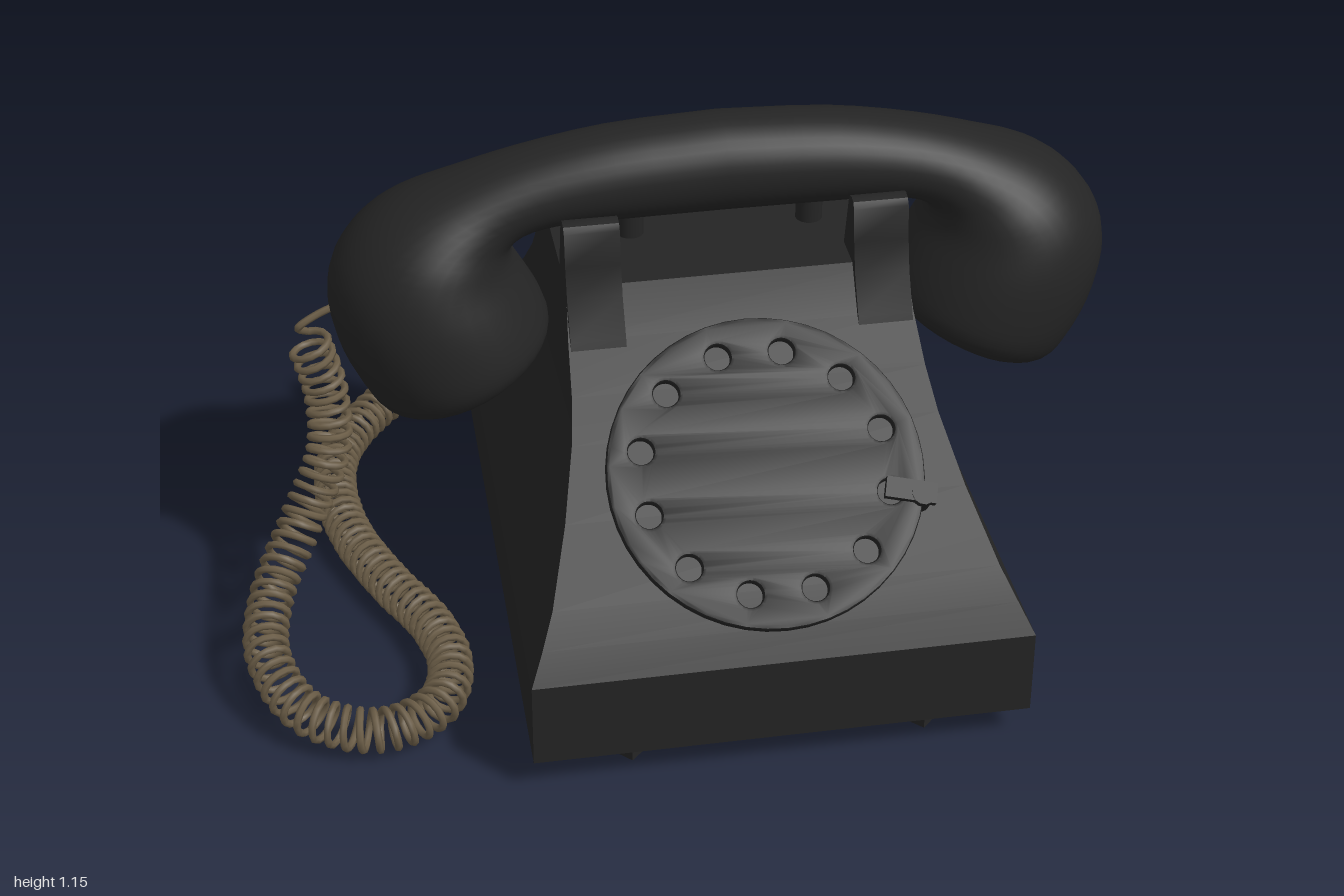
import * as THREE from 'three';
import { toCreasedNormals } from 'three/addons/utils/BufferGeometryUtils.js';

const CX = 0.13; // the phone sits off-centre because the cord loops out to one side

const black = new THREE.MeshStandardMaterial({ color: 0x242424 });
black.name = 'black bakelite';
const brown = new THREE.MeshStandardMaterial({ color: 0x6b5d47 });
brown.name = 'brown cord';

function add(parent, name, geometry, material = black) {
  const mesh = new THREE.Mesh(geometry, material);
  mesh.name = name;
  parent.add(mesh);
  return mesh;
}

// Skin closed rings of points (counter-clockwise about the travel direction)
function loft(rings, crease, capped) {
  const n = rings[0].length, index = [];
  for (let i = 0; i < rings.length - 1; i++) {
    for (let j = 0; j < n; j++) {
      const k = (j + 1) % n;
      const a = i * n + j, b = i * n + k, c = a + n, d = b + n;
      index.push(a, b, d, a, d, c);
    }
  }
  if (capped) {
    const t = (rings.length - 1) * n;
    for (let j = 1; j < n - 1; j++) index.push(0, j + 1, j, t, t + j, t + j + 1);
  }
  const g = new THREE.BufferGeometry();
  g.setAttribute('position', new THREE.Float32BufferAttribute(rings.flat(2), 3));
  g.setIndex(index);
  g.computeVertexNormals();
  return toCreasedNormals(g, crease);
}

function bodyGeometry() {
  // height, half width, front z, back z
  const levels = [
    [0.08, 0.54, 0.805, -0.575], [0.28, 0.54, 0.805, -0.575],
    [0.34, 0.51, 0.76, -0.555], [0.4, 0.48, 0.705, -0.53],
    [0.52, 0.432, 0.57, -0.425], [0.63, 0.398, 0.445, -0.325],
    [0.7, 0.385, 0.365, -0.27], [0.78, 0.378, 0.27, -0.215], [0.875, 0.372, 0.205, -0.185],
  ];
  return loft(levels.map(([y, w, f, b]) => {
    const wb = w - Math.max(0, (w - 0.4) * 0.17);
    return [[w, y, f], [wb, y, b], [-wb, y, b], [-w, y, f]];
  }), 0.42, true);
}

function handsetGeometry() {
  // outer edge (x, y, half depth) and matching inner edge (x, y), from middle to cup
  const outer = [
    [0, 1.15, 0.11], [0.25, 1.135, 0.112], [0.45, 1.097, 0.113], [0.6, 1.05, 0.128],
    [0.72, 1.0, 0.16], [0.8, 0.94, 0.19], [0.855, 0.86, 0.213], [0.87, 0.77, 0.232],
    [0.848, 0.66, 0.241], [0.805, 0.565, 0.237], [0.775, 0.52, 0.215], [0.74, 0.508, 0.19],
  ];
  const inner = [
    [0, 0.93], [0.22, 0.93], [0.36, 0.93], [0.425, 0.922], [0.458, 0.903], [0.465, 0.88],
    [0.457, 0.85], [0.43, 0.8], [0.402, 0.745], [0.387, 0.695], [0.395, 0.665], [0.42, 0.645],
  ];
  const curve = (pts) => new THREE.CatmullRomCurve3(pts.map(([x, y, z = 0]) => new THREE.Vector3(x, y, z)));
  const oc = curve(outer), ic = curve(inner), rings = [], steps = 33, sides = 36;
  const ring = (t, scale) => {
    const s = t < 0 ? -1 : 1, o = oc.getPoint(Math.abs(t)), i = ic.getPoint(Math.abs(t));
    return Array.from({ length: sides }, (_, j) => {
      const a = (j / sides) * Math.PI * 2, c = Math.cos(a) * scale / 2;
      return [s * ((o.x + i.x) / 2 + c * (o.x - i.x)), (o.y + i.y) / 2 + c * (o.y - i.y),
        o.z * Math.sin(a) * scale];
    });
  };
  rings.push(ring(-1, 0.001));
  for (let k = -steps; k <= steps; k++) rings.push(ring(k / steps, 1));
  rings.push(ring(1, 0.001));
  return loft(rings, 0.7, false);
}

// Cradle prong: a side profile (z, y) extruded across x
function prongGeometry() {
  const shape = new THREE.Shape([
    [0.1, 0.8], [0.13, 0.92], [0.15, 1.0], [0.16, 1.017], [0.175, 1.022], [0.192, 1.018],
    [0.203, 1.005], [0.215, 0.93], [0.235, 0.86], [0.28, 0.78], [0.31, 0.72], [0.2, 0.7],
  ].map(([z, y]) => new THREE.Vector2(z, y)));
  const g = new THREE.ExtrudeGeometry(shape, { depth: 0.12, bevelEnabled: false });
  g.rotateY(-Math.PI / 2);
  g.translate(0.06, 0, 0);
  return toCreasedNormals(g, 0.6);
}

function dialGeometry() {
  const shape = new THREE.Shape();
  shape.absarc(0, 0, 0.332, 0, Math.PI * 2, false);
  for (let i = 0; i < 12; i++) {
    const a = ((i + 0.5) / 12) * Math.PI * 2;
    const hole = new THREE.Path();
    hole.absarc(Math.cos(a) * 0.268, Math.sin(a) * 0.268, 0.036, 0, Math.PI * 2, true);
    shape.holes.push(hole);
  }
  const g = new THREE.ExtrudeGeometry(shape, {
    depth: 0.016, bevelThickness: 0.006, bevelSize: 0.008, bevelSegments: 2, curveSegments: 24,
  });
  g.translate(0, 0, -0.008);
  return toCreasedNormals(g, 0.6);
}

const path = (pts) => new THREE.CatmullRomCurve3(pts.map((p) => new THREE.Vector3(...p)));

// Helix wound around a path
class Coil extends THREE.Curve {
  constructor(spine, turns, radius) {
    super();
    Object.assign(this, { spine, turns, radius, n: 2000 });
    spine.arcLengthDivisions = 800;
    this.frames = spine.computeFrenetFrames(this.n, false);
  }
  getPoint(t, target = new THREE.Vector3()) {
    const i = Math.round(t * this.n), a = t * this.turns * Math.PI * 2;
    return target.copy(this.spine.getPointAt(t))
      .addScaledVector(this.frames.normals[i], Math.cos(a) * this.radius)
      .addScaledVector(this.frames.binormals[i], Math.sin(a) * this.radius);
  }
  getPointAt(t, target) { return this.getPoint(t, target); }
  getTangentAt(t, target) { return this.getTangent(t, target); }
}

export function createModel() {
  const model = new THREE.Group();
  model.name = 'rotaryTelephone';
  const phone = new THREE.Group();
  phone.name = 'phone';
  phone.position.x = CX;
  model.add(phone);

  add(phone, 'body', bodyGeometry());
  add(phone, 'handset', handsetGeometry());

  // Cradle: four prongs and two hook buttons
  const prong = prongGeometry();
  for (const side of [-1, 1]) {
    for (const turn of [0, Math.PI]) {
      const m = add(phone, 'cradleProng', prong);
      m.position.x = side * 0.314;
      m.rotation.y = turn;
    }
    add(phone, 'hookButton', new THREE.CylinderGeometry(0.03, 0.03, 0.07, 16))
      .position.set(side * 0.2, 0.9, 0);
  }

  // Feet set diagonally across the corners
  const foot = new THREE.BoxGeometry(0.23, 0.075, 0.105);
  for (const sx of [-1, 1]) {
    for (const [sz, z] of [[1, 0.635], [-1, -0.385]]) {
      const m = add(phone, 'foot', foot);
      m.position.set(sx * 0.365, 0.05, z);
      m.rotation.y = sx * sz * Math.PI / 4;
    }
  }

  // Dial on the sloping front
  const dial = new THREE.Group();
  dial.name = 'dial';
  dial.position.set(0, 0.588, 0.548);
  dial.rotation.x = -Math.atan2(0.51, 0.43);
  phone.add(dial);
  add(dial, 'fingerWheel', dialGeometry());
  const stop = add(dial, 'fingerStop', new THREE.BoxGeometry(0.11, 0.045, 0.02));
  stop.position.set(0.3, -0.075, 0.022);
  stop.rotation.z = -0.25;
  add(dial, 'fingerStopPost', new THREE.CylinderGeometry(0.026, 0.026, 0.07, 12).rotateX(Math.PI / 2))
    .position.set(0.325, -0.085, 0);

  // Plug at the back
  add(model, 'cordPlug', new THREE.CylinderGeometry(0.02, 0.02, 0.12, 16).rotateX(Math.PI / 2))
    .position.set(0.07, 0.2, -0.62);

  // Coiled cord with a plain lead at each end
  const spine = path([
    [-0.79, 0.68, 0.02], [-0.76, 0.55, 0.03], [-0.765, 0.42, 0.07], [-0.84, 0.28, 0.14],
    [-0.92, 0.18, 0.27], [-0.94, 0.13, 0.42], [-0.87, 0.08, 0.56], [-0.72, 0.06, 0.62],
    [-0.59, 0.06, 0.56], [-0.545, 0.06, 0.43], [-0.57, 0.06, 0.28], [-0.65, 0.055, 0.1],
    [-0.72, 0.055, -0.1], [-0.74, 0.055, -0.3], [-0.71, 0.055, -0.45], [-0.61, 0.06, -0.6],
    [-0.46, 0.08, -0.71], [-0.3, 0.12, -0.755], [-0.18, 0.14, -0.74], [-0.11, 0.14, -0.71],
  ]);
  const coil = new Coil(spine, 98, 0.044);
  add(model, 'coiledCord', new THREE.TubeGeometry(coil, 1372, 0.0085, 6), brown);
  const handsetLead = path([[-0.7, 0.76, 0], [-0.76, 0.74, 0.005], [-0.81, 0.71, 0.01], coil.getPoint(0).toArray()]);
  add(model, 'handsetLead', new THREE.TubeGeometry(handsetLead, 20, 0.0085, 6), brown);
  const plugLead = path([coil.getPoint(1).toArray(), [-0.09, 0.185, -0.745], [-0.02, 0.2, -0.74],
    [0.045, 0.2, -0.72], [0.07, 0.2, -0.67]]);
  add(model, 'plugLead', new THREE.TubeGeometry(plugLead, 24, 0.0085, 6), brown);

  return model;
}
